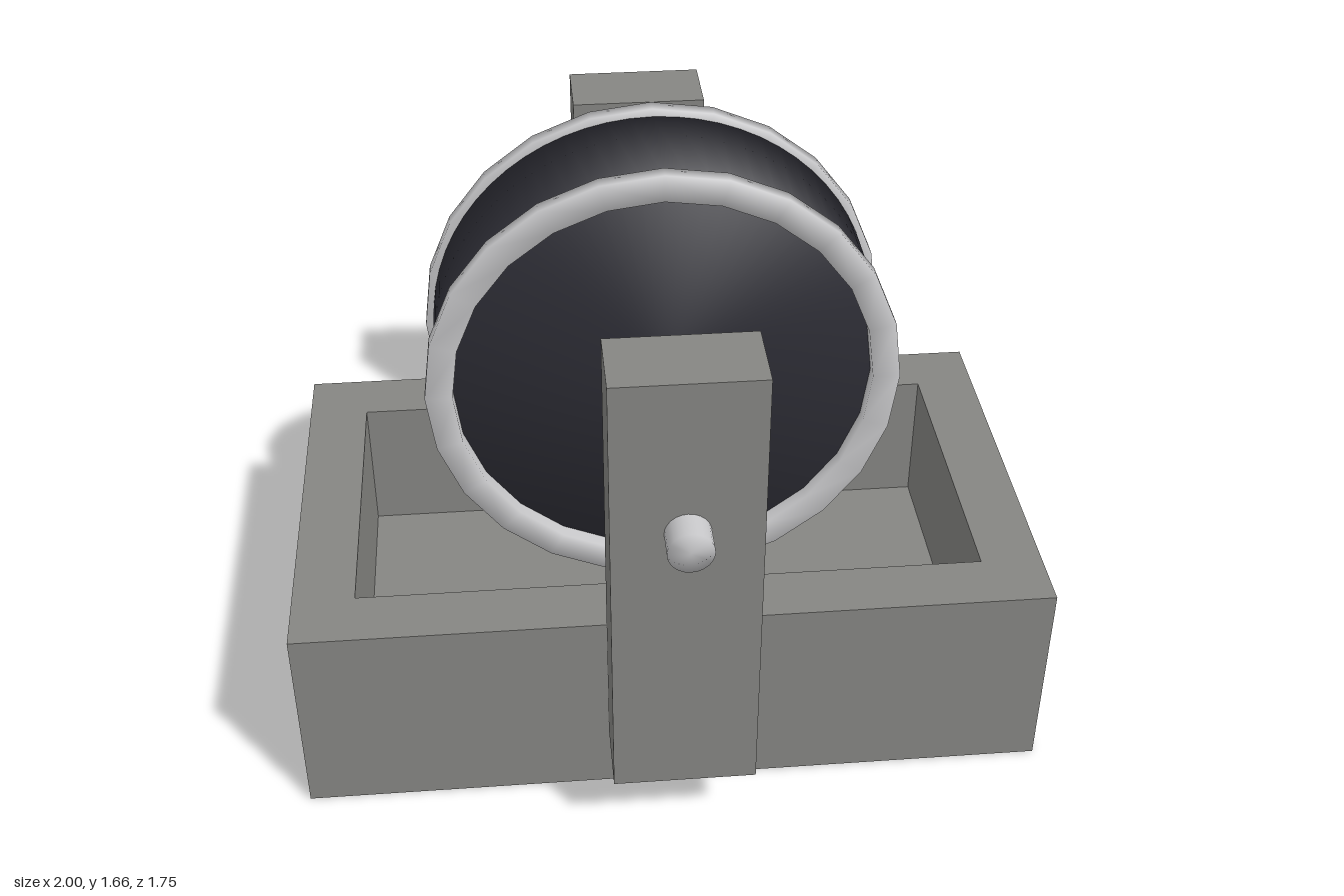
import * as THREE from 'three';

const stone = new THREE.MeshStandardMaterial({ name: 'stone grey', color: 0x868683 });
const metal = new THREE.MeshStandardMaterial({ name: 'pale metal', color: 0xc8c8ca });
const dark = new THREE.MeshStandardMaterial({ name: 'dark grindstone', color: 0x2c2c34 });

const AXLE_Y = 1.035;

function add(parent, name, geometry, material, x = 0, y = 0, z = 0) {
  const mesh = new THREE.Mesh(geometry, material);
  mesh.name = name;
  mesh.position.set(x, y, z);
  parent.add(mesh);
  return mesh;
}

// Softly shaded turned part whose axis runs along z
function turned(profile, segments) {
  const points = profile.map(([r, z]) => new THREE.Vector2(r, z));
  return new THREE.LatheGeometry(points, segments).rotateX(Math.PI / 2);
}

function disc(radius, halfWidth, segments) {
  return turned([[0, -halfWidth], [radius, -halfWidth], [radius, halfWidth], [0, halfWidth]], segments);
}

function rectangle(PathType, w, d) {
  const p = new PathType();
  p.moveTo(-w, -d);
  p.lineTo(w, -d);
  p.lineTo(w, d);
  p.lineTo(-w, d);
  p.closePath();
  return p;
}

export function createModel() {
  const model = new THREE.Group();
  model.name = 'grindingWheel';

  // Open trough: floor slab and four walls
  const trough = new THREE.Group();
  trough.name = 'trough';
  model.add(trough);
  const floor = 0.17, top = 0.567;
  add(trough, 'troughFloor', new THREE.BoxGeometry(2, floor, 1.166), stone, 0, floor / 2, 0);
  const outline = rectangle(THREE.Shape, 1, 0.583);
  outline.holes.push(rectangle(THREE.Path, 0.835, 0.42));
  const walls = new THREE.ExtrudeGeometry(outline, { depth: top - floor, bevelEnabled: false });
  add(trough, 'troughWalls', walls.rotateX(-Math.PI / 2), stone, 0, floor, 0);

  // Wheel and axle
  const wheel = new THREE.Group();
  wheel.name = 'wheel';
  wheel.position.y = AXLE_Y;
  model.add(wheel);
  add(wheel, 'grindstone', disc(0.6, 0.16, 64), dark);
  add(wheel, 'axle', disc(0.057, 0.875, 24), metal);

  const rim = turned(
    [[0.55, -0.02], [0.622, -0.02], [0.622, 0.02], [0.55, 0.02], [0.55, -0.02]], 24);

  for (const side of [1, -1]) {
    const end = side > 0 ? 'front' : 'back';
    add(wheel, end + 'Rim', rim, metal, 0, 0, side * 0.18);
    add(wheel, end + 'Hub', disc(0.115, 0.0375, 32), metal, 0, 0, side * 0.1975);
    // Upright post carrying the axle
    add(model, end + 'Post', new THREE.BoxGeometry(0.37, 1.25, 0.2), stone, 0, 0.835, side * 0.7);
  }
  return model;
}
